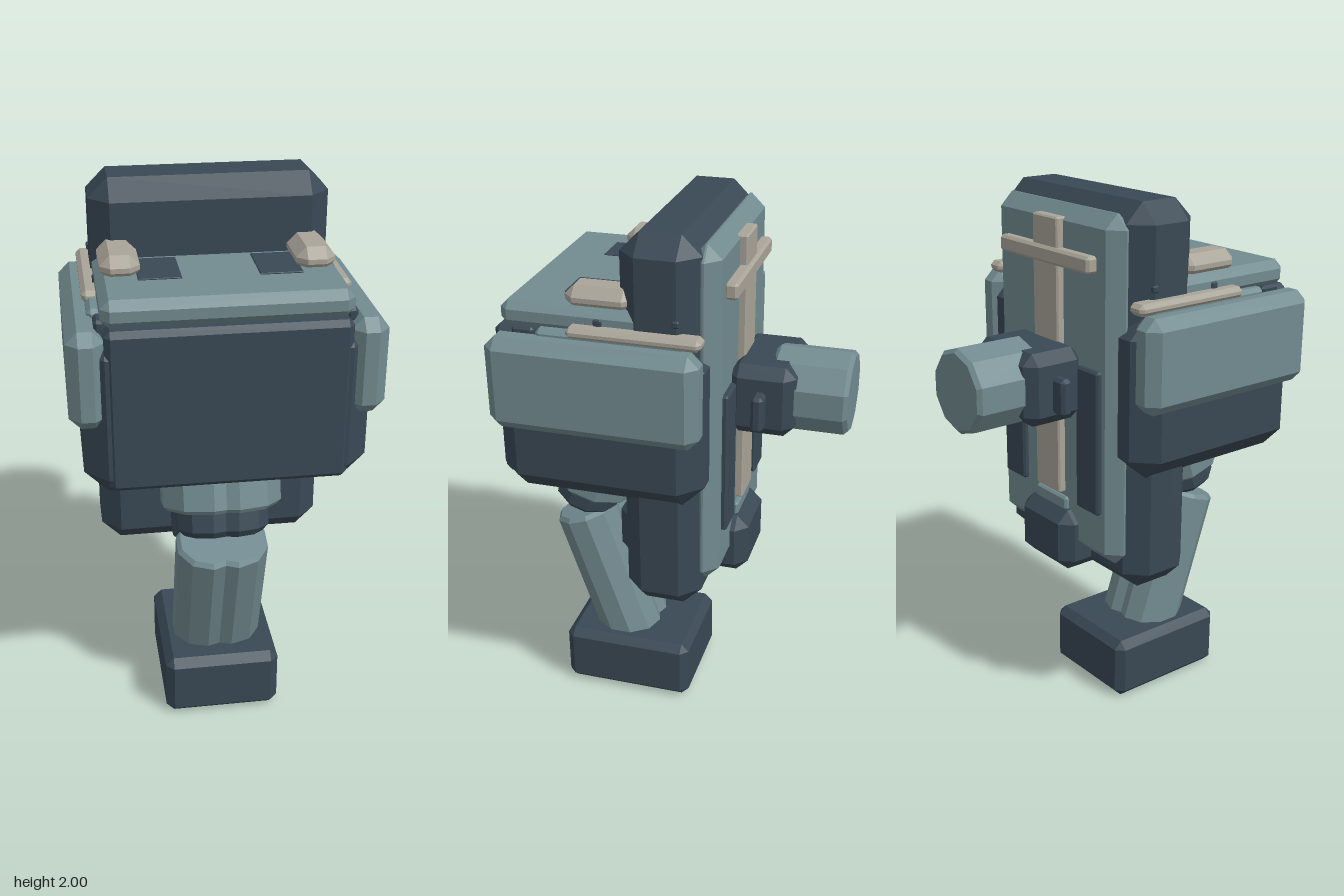
import * as THREE from 'three';
import { ConvexGeometry } from 'three/addons/geometries/ConvexGeometry.js';

const mat = (name, color) => {
  const m = new THREE.MeshStandardMaterial({ color, flatShading: true });
  m.name = name;
  return m;
};

export function createModel() {
  const dark = mat('dark slate', 0x394854);
  const teal = mat('grey teal', 0x728b90);
  const beige = mat('warm beige', 0xa9a498);
  const group = new THREE.Group();

  const add = (name, geometry, material) => {
    const mesh = new THREE.Mesh(geometry, material);
    mesh.name = name;
    group.add(mesh);
    return mesh;
  };

  // Box between two limits on each axis, with every edge cut by a chamfer c
  const box = (name, material, [x0, x1], [y0, y1], [z0, z1], c = 0.01) => {
    const h = [(x1 - x0) / 2, (y1 - y0) / 2, (z1 - z0) / 2];
    const points = [];
    for (const sx of [-1, 1]) for (const sy of [-1, 1]) for (const sz of [-1, 1]) {
      for (let axis = 0; axis < 3; axis++) {
        const p = [sx, sy, sz].map((s, i) => s * (i === axis ? h[i] : h[i] - c));
        points.push(new THREE.Vector3(...p));
      }
    }
    const mesh = add(name, new ConvexGeometry(points), material);
    mesh.position.set((x0 + x1) / 2, (y0 + y1) / 2, (z0 + z1) / 2);
    return mesh;
  };

  // The same box on both sides
  const pair = (name, material, [x0, x1], y, z, c) => {
    box(name + 'Left', material, [x0, x1], y, z, c);
    box(name + 'Right', material, [-x1, -x0], y, z, c);
  };

  // Round bar from a to b with small bevelled ends
  const bar = (name, material, a, b, r, sides, bevel = 0.015) => {
    const A = new THREE.Vector3(...a), B = new THREE.Vector3(...b);
    const L = A.distanceTo(B);
    const profile = [[0, 0], [r - bevel, 0], [r, bevel], [r, L - bevel], [r - bevel, L], [0, L]]
      .map(p => new THREE.Vector2(...p));
    const mesh = add(name, new THREE.LatheGeometry(profile, sides), material);
    mesh.position.copy(A);
    mesh.quaternion.setFromUnitVectors(new THREE.Vector3(0, 1, 0), B.sub(A).normalize());
  };

  // Main body, front panel and side pods
  box('body', dark, [-0.485, 0.485], [1.035, 1.63], [-0.155, 0.592], 0.08);
  box('frontPanel', dark, [-0.405, 0.405], [1.07, 1.645], [0.4, 0.598], 0.02);
  pair('sidePod', teal, [0.4, 0.527], [1.3, 1.64], [-0.157, 0.597], 0.04);

  // Lid with vents, lugs and rails
  box('lid', teal, [-0.412, 0.412], [1.64, 1.737], [0, 0.573], 0.03);
  pair('lidVent', dark, [0.13, 0.275], [1.734, 1.742], [0.175, 0.38], 0.002);
  pair('lidLug', beige, [0.262, 0.397], [1.715, 1.802], [0.1, 0.345], 0.035);
  pair('lidPin', dark, [0.39, 0.418], [1.675, 1.705], [0.2, 0.23], 0.005);
  pair('railBase', teal, [0.4, 0.45], [1.6, 1.662], [-0.1, 0.43], 0.015);
  pair('railStop', dark, [0.395, 0.432], [1.61, 1.658], [0.44, 0.52], 0.01);
  pair('rail', beige, [0.385, 0.46], [1.64, 1.682], [-0.152, 0.318], 0.015);

  // Tall back slab and its rear plate
  box('backSlab', dark, [-0.417, 0.417], [0.578, 2], [-0.13, 0.153], 0.07);
  pair('slabPin', dark, [0.4, 0.424], [1.705, 1.73], [-0.07, -0.045], 0.005);
  box('rearPlate', teal, [-0.36, 0.36], [0.68, 1.963], [-0.187, -0.08], 0.05);
  box('rearStrip', beige, [-0.073, 0.073], [0.9, 1.925], [-0.215, -0.17], 0.006);
  box('crossBar', beige, [-0.265, 0.265], [1.76, 1.82], [-0.228, -0.18], 0.01);
  pair('rearPanel', dark, [0.165, 0.292], [0.88, 1.42], [-0.208, -0.17], 0.008);
  box('rearTab', teal, [-0.095, 0.095], [0.8, 0.885], [-0.203, -0.15], 0.008);
  box('lowerBlock', dark, [-0.155, 0.155], [0.6, 0.84], [-0.25, 0.26], 0.045);

  // Rear bracket carrying the drum
  box('bracket', dark, [-0.182, 0.182], [1.22, 1.485], [-0.415, -0.17], 0.04);
  pair('bracketPin', dark, [0.15, 0.24], [1.265, 1.4], [-0.316, -0.272], 0.012);
  bar('drum', teal, [0, 1.355, -0.315], [0, 1.355, -0.598], 0.156, 10);

  // Twin column leg: thigh, knee and shin
  for (const x of [-0.045, 0.045]) {
    const side = x > 0 ? 'Left' : 'Right';
    bar('thigh' + side, teal, [x, 1.2, 0.285], [x, 0.875, 0.388], 0.175, 10);
    bar('knee' + side, dark, [x, 0.95, 0.375], [x, 0.785, 0.43], 0.125, 10, 0.025);
    bar('shin' + side, teal, [x, 0.75, 0.43], [x, 0.15, 0.23], 0.125, 10);
  }
  box('foot', dark, [-0.215, 0.215], [0, 0.245], [-0.033, 0.48], 0.03);

  return group;
}
